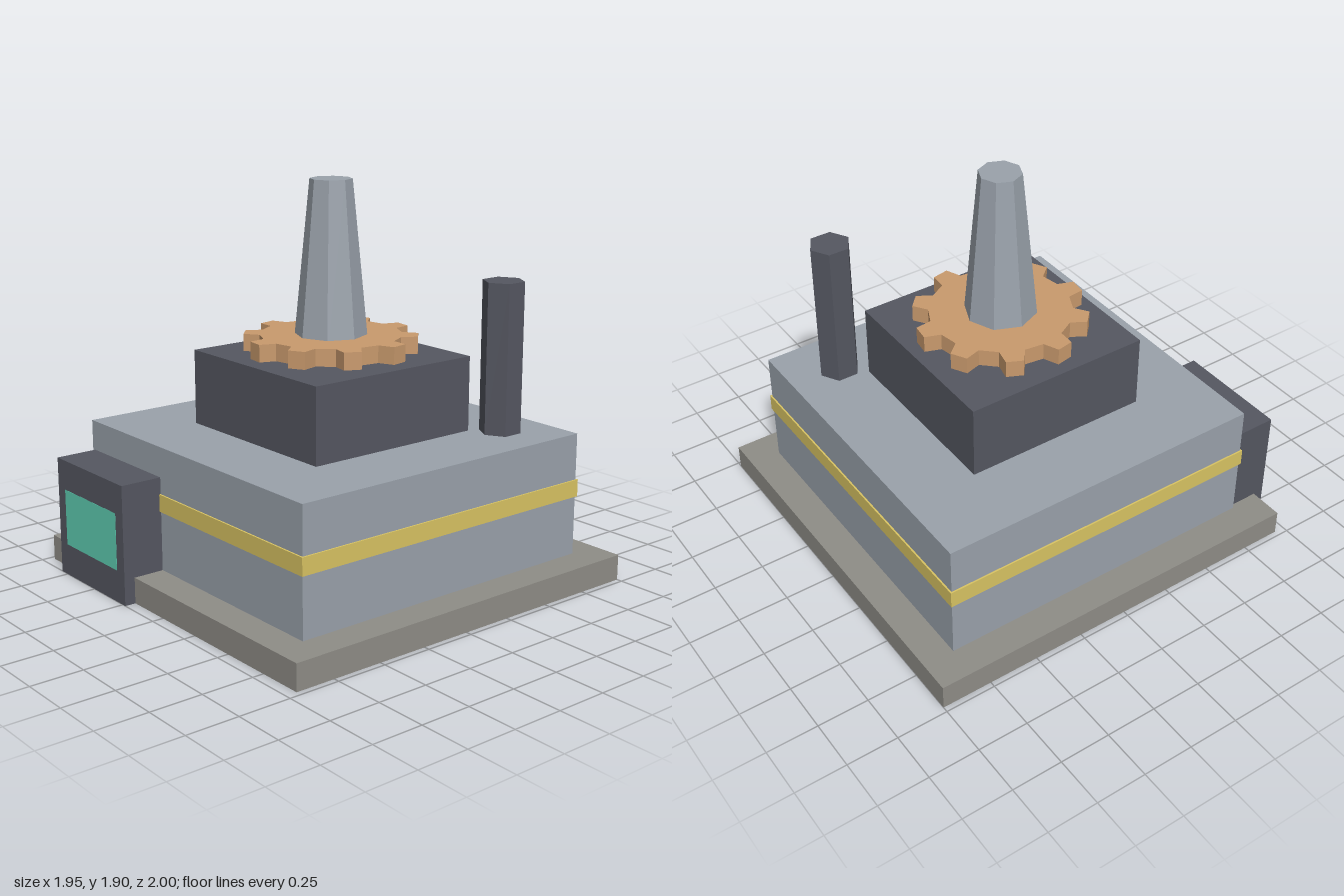
import * as THREE from 'three';

const CZ = -0.027; // shared centre line of the stacked parts

const mat = (color) => new THREE.MeshStandardMaterial({ color, flatShading: true });
const steel = mat(0x9aa2ab);
const dark = mat(0x555761);
const stone = mat(0x8f8d87);
const gold = mat(0xd9c463);
const copper = mat(0xc99a6d);
const teal = mat(0x5fcfb4);

function add(group, name, geometry, material, x, y, z) {
  const mesh = new THREE.Mesh(geometry, material);
  mesh.name = name;
  mesh.position.set(x, y, z);
  group.add(mesh);
  return mesh;
}

// Box given by its size, bottom height and centre
function block(group, name, material, w, d, y0, y1, x = 0, z = CZ) {
  return add(group, name, new THREE.BoxGeometry(w, y1 - y0, d), material, x, (y0 + y1) / 2, z);
}

// Prism or tapered column with few sides
function column(group, name, material, rTop, rBottom, sides, y0, y1, x = 0, z = CZ) {
  const geometry = new THREE.CylinderGeometry(rTop, rBottom, y1 - y0, sides);
  return add(group, name, geometry, material, x, (y0 + y1) / 2, z);
}

// Flat gear lying in the xz plane, bottom at y = 0
function gearGeometry(teeth, rRoot, rTip, thickness, phase) {
  const step = (Math.PI * 2) / teeth;
  const corners = [[-0.28, rRoot], [-0.16, rTip], [0.16, rTip], [0.28, rRoot]];
  const points = [];
  for (let i = 0; i < teeth; i++) {
    for (const [offset, r] of corners) {
      const a = phase + (i + offset) * step;
      points.push(new THREE.Vector2(r * Math.cos(a), r * Math.sin(a)));
    }
  }
  const geometry = new THREE.ExtrudeGeometry(new THREE.Shape(points), { depth: thickness, bevelEnabled: false });
  return geometry.rotateX(-Math.PI / 2);
}

export function createModel() {
  const model = new THREE.Group();
  model.name = 'machineBuilding';

  // Stacked body
  block(model, 'basePlate', stone, 1.946, 1.946, 0, 0.125);
  block(model, 'mainBody', steel, 1.64, 1.64, 0.125, 0.72);
  block(model, 'trimBand', gold, 1.656, 1.656, 0.412, 0.495);
  block(model, 'upperBlock', dark, 0.92, 0.92, 0.72, 1.08);

  // Gear and tapered spire
  add(model, 'gear', gearGeometry(10, 0.335, 0.41, 0.082, THREE.MathUtils.degToRad(10.5)), copper, 0, 1.092, CZ);
  column(model, 'spire', steel, 0.1, 0.18, 8, 1.08, 1.9);

  // Chimney at the back
  column(model, 'chimney', dark, 0.1, 0.1, 6, 0.72, 1.44, 0.5625, -0.593);

  // Entrance box with a glowing panel
  block(model, 'entranceBox', dark, 0.573, 0.21, 0, 0.575, -0.515, 0.895);
  block(model, 'entrancePanel', teal, 0.45, 0.02, 0.155, 0.43, -0.515, 0.991);

  return model;
}
